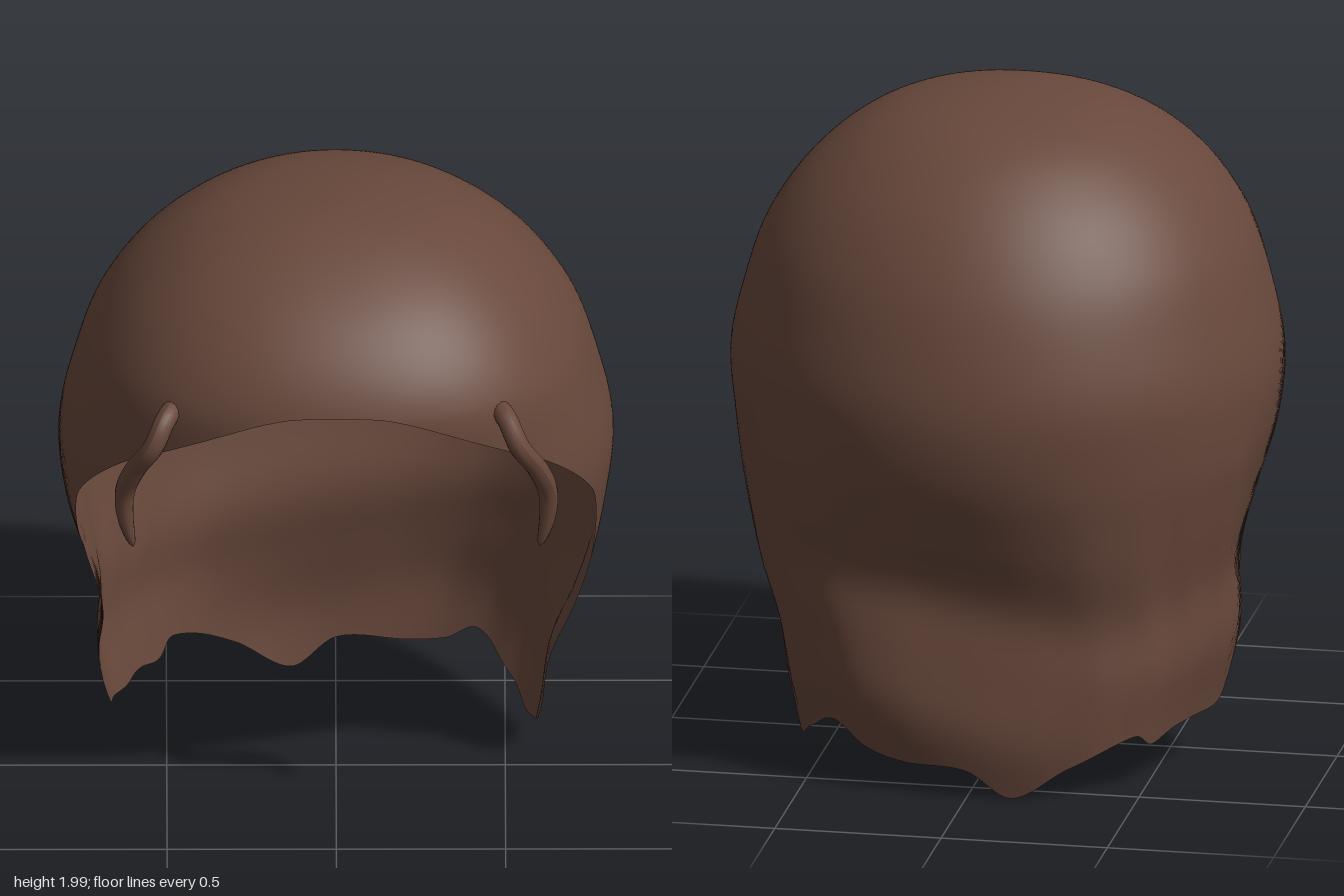
import * as THREE from 'three';

const hairBrown = new THREE.MeshStandardMaterial({ color: 0x68483b, side: THREE.DoubleSide });
hairBrown.name = 'hairBrown';

// Smooth interpolation through [key, value, value...] rows, column k
function sample(rows, key, k = 1) {
  const n = rows.length - 1;
  let i = 0;
  while (i < n - 1 && key > rows[i + 1][0]) i++;
  const a = rows[i], b = rows[i + 1];
  const slope = (p, q) => (q[k] - p[k]) / (q[0] - p[0]);
  const m0 = slope(rows[Math.max(i - 1, 0)], b);
  const m1 = slope(a, rows[Math.min(i + 2, n)]);
  const h = b[0] - a[0];
  const t = Math.min(Math.max((key - a[0]) / h, 0), 1);
  const t2 = t * t, t3 = t2 * t;
  return (2 * t3 - 3 * t2 + 1) * a[k] + (t3 - 2 * t2 + t) * h * m0
    + (3 * t2 - 2 * t3) * b[k] + (t3 - t2) * h * m1;
}

// Cross-sections: height, left half-width, right half-width, front z, back z, centre z
const sections = [
  [2.0, 0, 0, 0.14, 0.14, 0.14],
  [1.95, 0.32, 0.32, 0.38, -0.24, 0.08],
  [1.8, 0.56, 0.56, 0.62, -0.48, 0.06],
  [1.6, 0.71, 0.71, 0.75, -0.63, 0.05],
  [1.4, 0.78, 0.78, 0.75, -0.71, 0.05],
  [1.2, 0.82, 0.82, 0.73, -0.75, 0.05],
  [1.0, 0.80, 0.80, 0.71, -0.73, 0.05],
  [0.8, 0.76, 0.74, 0.70, -0.66, 0.05],
  [0.6, 0.70, 0.69, 0.68, -0.59, 0.05],
  [0.4, 0.63, 0.70, 0.66, -0.61, 0.05],
  [0.2, 0.61, 0.66, 0.64, -0.63, 0.05],
  [0.0, 0.58, 0.63, 0.62, -0.59, 0.05],
].map(([y, ...rest]) => [Math.sqrt(2 - y), ...rest]);

// Lower edge of the hair: angle from the front in degrees, height
const hem = [
  [0, 1.61], [12, 1.6], [23, 1.55], [40, 1.42], [49, 1.34], [61, 1.19], [67, 1.09], [78, 0.77], [87, 0.5],
  [94, 0.2], [103, 0.11], [114, 0.06], [126, 0.12], [140, 0.19], [149, 0.13], [161, 0.1],
  [180, 0.09], [192, 0.005], [207, 0.1], [224, 0.18], [230, 0.14], [240, 0.17], [256, 0.18],
  [266, 0.24], [273, 0.5], [282, 0.77], [293, 1.09], [299, 1.19], [311, 1.34], [320, 1.42],
  [337, 1.55], [348, 1.6], [360, 1.61],
];

function hairPoint(deg, s) {
  const a = THREE.MathUtils.degToRad(deg);
  const y = 2 - s * s;
  const sin = Math.sin(a), cos = Math.cos(a);
  const low = THREE.MathUtils.smoothstep(1.15 - y, 0, 0.6) * THREE.MathUtils.smoothstep(-cos, -0.1, 0.35);
  // The hollow at the nape slants from high on the left to low on the right
  const sBack = Math.sqrt(2 - Math.max(0, y - 0.14 * sin * low));
  const centre = sample(sections, s, 5);
  const width = sample(sections, s, sin > 0 ? 1 : 2);
  const depth = cos > 0 ? sample(sections, s, 3) - centre : centre - sample(sections, sBack, 4);
  const corner = Math.sin(2 * a) ** 2;
  // Slightly fuller front corners
  let f = cos > 0 ? 1 + 0.045 * corner : 1;
  // Fuller hair at the back corners, drawn in again towards the hem
  const bulge = (sin > 0 ? 0.13 : 0.08) * corner * (0.35 + 0.65 * THREE.MathUtils.smoothstep(y, 0, 0.42));
  // Long soft folds and fine ripples below the ears
  const folds = 0.03 * Math.sin(a * 7 + y * 2.5) + 0.006 * Math.sin(a * 24 + y * 4);
  f += low * (folds * sin * sin + bulge);
  return [width * sin * f, y, centre + depth * cos * f];
}

function shellGeometry(columns = 280, rows = 70) {
  const pos = [...hairPoint(0, 0)], index = [];
  for (let j = 0; j < columns; j++) {
    const deg = (j / columns) * 360;
    const sEnd = Math.sqrt(2 - sample(hem, deg));
    for (let i = 1; i <= rows; i++) pos.push(...hairPoint(deg, (sEnd * i) / rows));
  }
  const id = (j, i) => 1 + (j % columns) * rows + i;
  for (let j = 0; j < columns; j++) {
    index.push(0, id(j, 0), id(j + 1, 0));
    for (let i = 0; i < rows - 1; i++) {
      const a = id(j, i), b = id(j, i + 1), c = id(j + 1, i + 1), d = id(j + 1, i);
      index.push(a, b, d, b, c, d);
    }
  }
  const g = new THREE.BufferGeometry();
  g.setAttribute('position', new THREE.Float32BufferAttribute(pos, 3));
  g.setIndex(index);
  g.computeVertexNormals();
  return g;
}

// Tapered lock that curls out of the hairline and hangs down
function lockGeometry(side) {
  const path = new THREE.CatmullRomCurve3([
    [0.47, 1.56, 0.56], [0.505, 1.55, 0.645], [0.54, 1.48, 0.68], [0.595, 1.38, 0.64],
    [0.625, 1.28, 0.6], [0.622, 1.18, 0.588], [0.6, 1.085, 0.585],
  ].map(([x, y, z]) => new THREE.Vector3(x * side, y, z)));
  const steps = 40, ring = 12;
  const g = new THREE.TubeGeometry(path, steps, 0.031, ring, false);
  const p = g.attributes.position, v = new THREE.Vector3();
  for (let i = 0; i <= steps; i++) {
    const t = i / steps, c = path.getPointAt(t);
    const k = t < 0.55 ? 1 : Math.max(0.02, Math.sqrt(1 - ((t - 0.55) / 0.45) ** 2));
    for (let j = 0; j <= ring; j++) {
      const n = i * (ring + 1) + j;
      v.fromBufferAttribute(p, n).sub(c).multiplyScalar(k).add(c);
      p.setXYZ(n, v.x, v.y, v.z);
    }
  }
  g.computeVertexNormals();
  return g;
}

export function createModel() {
  const model = new THREE.Group();
  model.name = 'hair';
  const add = (name, geometry) => {
    const mesh = new THREE.Mesh(geometry, hairBrown);
    mesh.name = name;
    model.add(mesh);
  };
  add('hairShell', shellGeometry());
  add('leftFrontLock', lockGeometry(1));
  add('rightFrontLock', lockGeometry(-1));
  return model;
}
